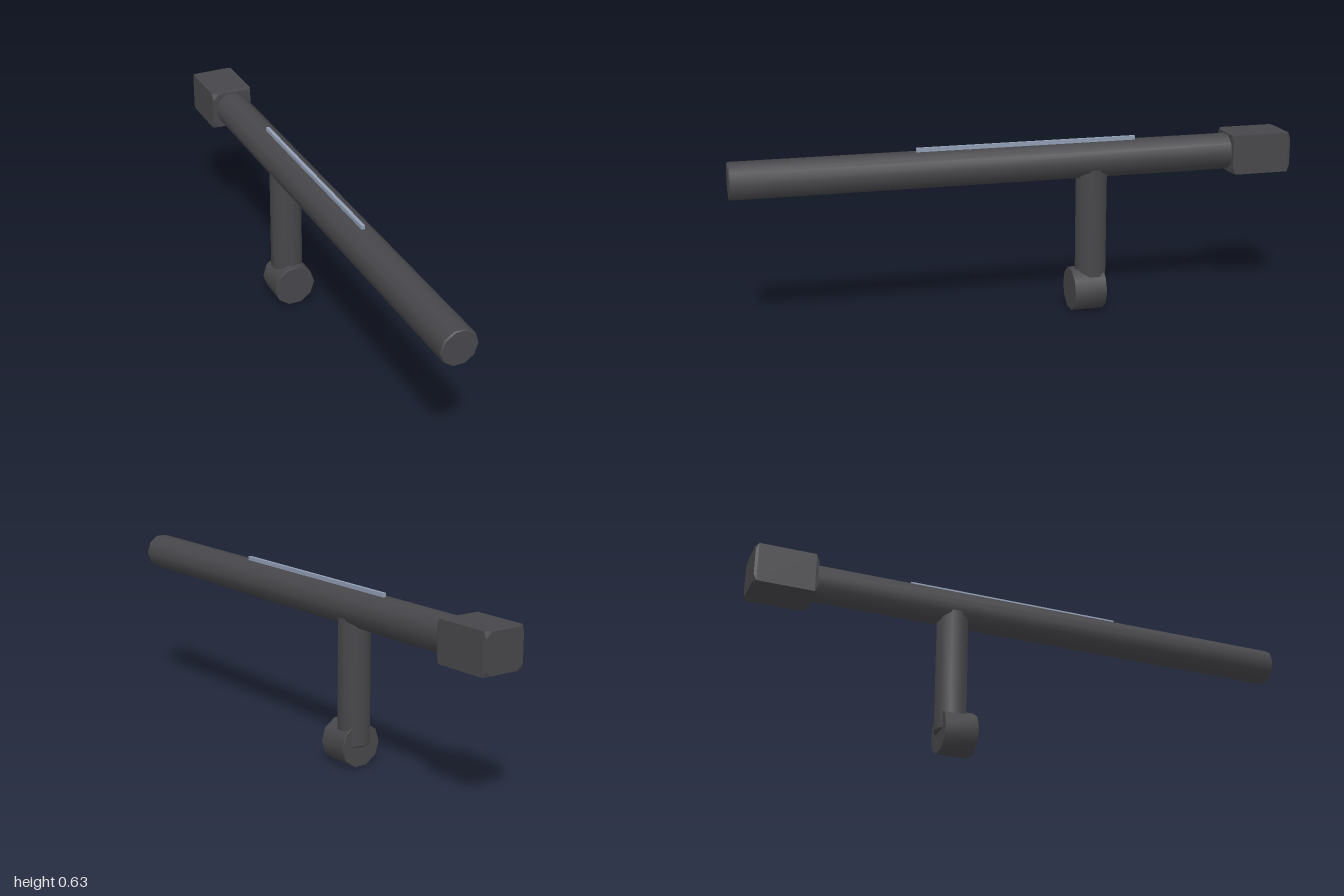
import * as THREE from 'three';
import { toCreasedNormals } from 'three/addons/utils/BufferGeometryUtils.js';
import { ConvexGeometry } from 'three/addons/geometries/ConvexGeometry.js';

const black = new THREE.MeshStandardMaterial({ color: 0x47464a });
black.name = 'black polymer';
const steel = new THREE.MeshStandardMaterial({ color: 0x919db3 });
steel.name = 'blue grey strip';

// Ten-sided rod along y from y0 to y1 with small end bevels
function rod(radius, y0, y1, bevel) {
  const profile = [
    [0, y0], [radius - bevel, y0], [radius, y0 + bevel],
    [radius, y1 - bevel], [radius - bevel, y1], [0, y1],
  ].map(([r, y]) => new THREE.Vector2(r, y));
  return toCreasedNormals(new THREE.LatheGeometry(profile, 10), 0.7);
}

// The same rod laid along z, with corners on the left and right
const rodZ = (radius, z0, z1, bevel) =>
  rod(radius, z0, z1, bevel).rotateY(Math.PI / 2).rotateX(Math.PI / 2);

// Square block whose end faces are inset with clipped corners
function block(w, h, d, inset, clip) {
  const points = [];
  for (const sx of [-1, 1]) for (const sy of [-1, 1]) for (const sz of [-1, 1]) {
    const x = w / 2, y = h / 2, z = d / 2;
    points.push(
      new THREE.Vector3(sx * x, sy * y, sz * (z - 0.01)),
      new THREE.Vector3(sx * (x - inset), sy * (y - clip), sz * z),
      new THREE.Vector3(sx * (x - clip), sy * (y - inset), sz * z),
    );
  }
  return new ConvexGeometry(points);
}

export function createModel() {
  const model = new THREE.Group();
  model.name = 'sideHandleBaton';
  const add = (name, geometry, material, x, y, z) => {
    const mesh = new THREE.Mesh(geometry, material);
    mesh.name = name;
    mesh.position.set(x, y, z);
    model.add(mesh);
  };

  // Long shaft and the square block at its rear end
  add('shaft', rodZ(0.065, -0.85, 1, 0.004), black, 0, 0.552, 0);
  add('endBlock', block(0.158, 0.143, 0.219, 0.003, 0.024), black, 0, 0.551, -0.8905);

  // Side handle and its round pommel
  add('handle', rod(0.058, 0.072, 0.53, 0.005), black, 0, 0, -0.272);
  add('pommel', rodZ(0.079, -0.313, -0.195, 0.001), black, 0, 0.0752, 0);

  // Narrow strip set into the top of the shaft
  add('topStrip', new THREE.BoxGeometry(0.012, 0.022, 0.79), steel, 0, 0.617, -0.036);
  return model;
}
